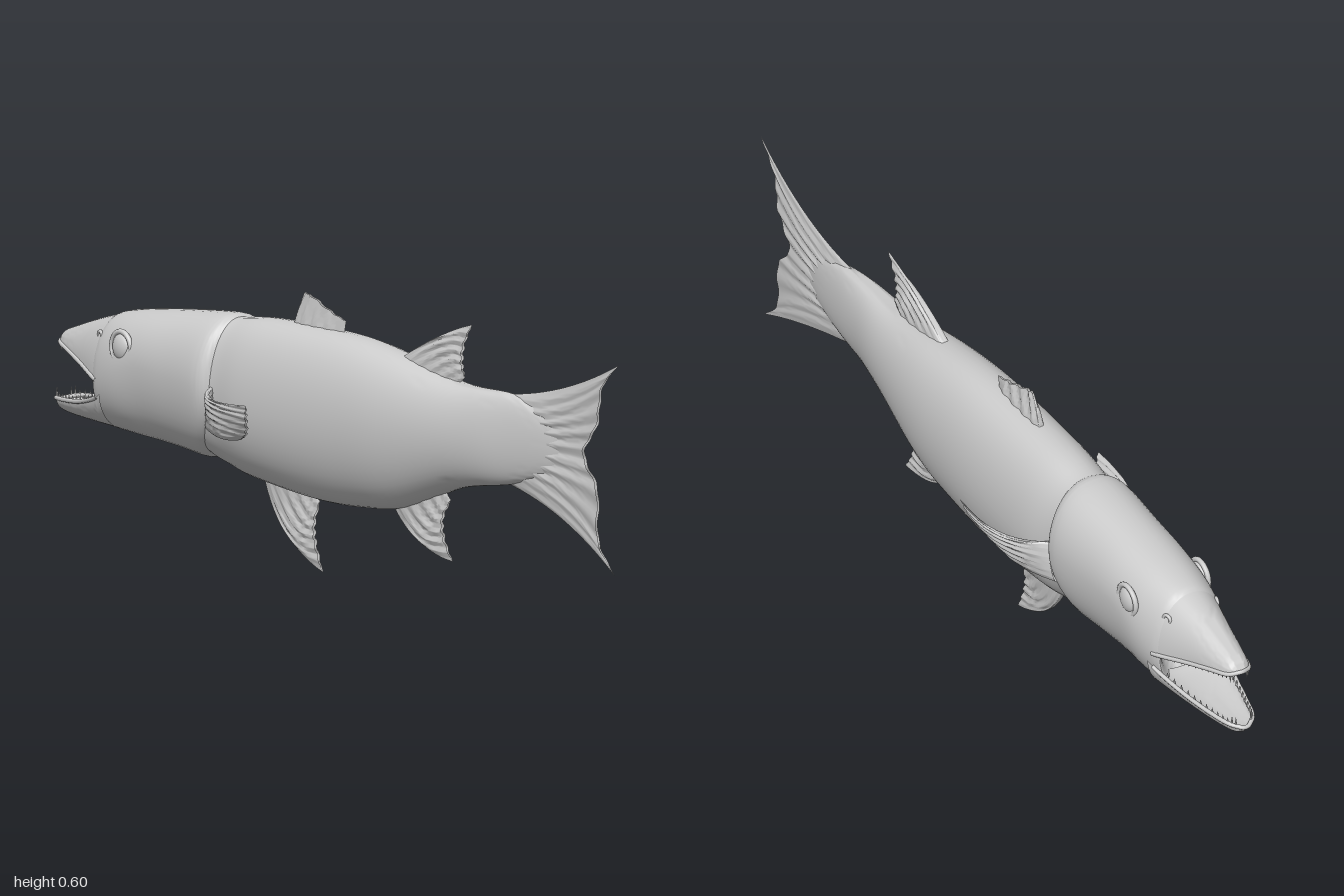
import * as THREE from 'three';
import { toCreasedNormals } from 'three/addons/utils/BufferGeometryUtils.js';

const V = (x, y, z) => new THREE.Vector3(x, y, z);
const material = new THREE.MeshStandardMaterial({ color: 0xcccccc });
const thinMaterial = new THREE.MeshStandardMaterial({ color: 0xcccccc, side: THREE.DoubleSide });

// Gentle sideways sweep of the tail
const sway = z => (z > 0.55 ? 0.012 * Math.sin((z - 0.55) * 7) : 0);

function mesh(name, geometry, mat = material) {
  const m = new THREE.Mesh(geometry, mat);
  m.name = name;
  return m;
}

// Grid of points joined into a surface; each row is a closed loop
function skin(rows, cols, pointAt) {
  const pos = [], index = [];
  for (let j = 0; j <= rows; j++) {
    for (let i = 0; i < cols; i++) {
      pos.push(...pointAt(i, j / rows).toArray());
      if (j === rows) continue;
      const a = j * cols + i, b = j * cols + (i + 1) % cols;
      index.push(a, a + cols, b, b, a + cols, b + cols);
    }
  }
  const g = new THREE.BufferGeometry();
  g.setAttribute('position', new THREE.Float32BufferAttribute(pos, 3));
  g.setIndex(index);
  return toCreasedNormals(g, 1.0);
}

// Rings [z, top, widest height, bottom, half width], listed tail to snout
function ringCurves(rings) {
  const curve = pts => new THREE.CatmullRomCurve3(pts, false, 'catmullrom', 0.5);
  return [
    curve(rings.map(r => V(r[4], 0, r[0]))),
    curve(rings.map(r => V(r[1], r[2], r[3]))),
  ];
}

function loft(rings, bend = () => 0) {
  const [zw, heights] = ringCurves(rings);
  const n = 48;
  return skin((rings.length - 1) * 6, n, (i, t) => {
    const a = (i / n) * Math.PI * 2, c = Math.cos(a), s = Math.sin(a);
    const p = zw.getPoint(t), h = heights.getPoint(t);
    const x = Math.max(p.x, 0) * Math.sign(c) * Math.abs(c) ** 0.9;
    const y = h.y + (s > 0 ? h.x - h.y : h.y - h.z) * s;
    return V(x + sway(p.z), y, p.z + bend(p.z, s));
  });
}

// Ribbed fin spread between a base, a middle and an outer edge curve
function fin(base, middle, edge, thickness, rays) {
  const [b, m, e] = [base, middle, edge].map(c => new THREE.CatmullRomCurve3(c, false, 'centripetal'));
  const n = 60;
  return skin(14, n * 2, (i, v) => {
    const side = i < n ? 1 : -1;
    const u = i < n ? i / n : (2 * n - i) / n;
    const p0 = b.getPoint(u), p1 = m.getPoint(u), p2 = e.getPoint(u);
    const p = new THREE.QuadraticBezierCurve3(
      p0, p1.clone().multiplyScalar(2).addScaledVector(p0, -0.5).addScaledVector(p2, -0.5), p2).getPoint(v);
    const lens = Math.sqrt(Math.max(Math.sin(Math.PI * u), 0));
    p.x += side * lens * (thickness * (1 - 0.85 * v) + 0.001);
    p.x += 0.003 * Math.sin(u * rays * Math.PI * 2) * Math.sin(Math.PI * Math.min(v, 0.7)) * lens;
    return p;
  });
}

// Fin lying in the middle plane, from [z, y] points
const flatFin = (base, middle, edge, thickness, rays) => {
  const to3 = pts => pts.map(([z, y]) => V(sway(z), y, z));
  return fin(to3(base), to3(middle), to3(edge), thickness, rays);
};

// Lips and teeth along the rim of a jaw
function mouthRim(name, rings, direction) {
  const group = new THREE.Group();
  group.name = name;
  const [zw, heights] = ringCurves(rings);
  const rim = (t, side, inset = 1) => {
    const p = zw.getPoint(t);
    return V(side * p.x * inset, heights.getPoint(t).y, p.z);
  };
  const lip = [];
  for (let i = 0; i <= 14; i++) lip.push(rim(0.1 + 0.064 * i, 1));
  for (let i = 14; i >= 0; i--) lip.push(rim(0.1 + 0.064 * i, -1));
  group.add(mesh('lip', new THREE.TubeGeometry(new THREE.CatmullRomCurve3(lip), 80, 0.005, 8)));
  for (const side of [-1, 1]) {
    for (let i = 0; i < 13; i++) {
      const h = i > 10 ? 0.024 : 0.014;
      const tooth = mesh('tooth', new THREE.ConeGeometry(0.0035, h, 7));
      tooth.position.copy(rim(0.25 + i * 0.053, side, 0.92));
      tooth.position.y += direction * h * 0.45;
      if (direction < 0) tooth.rotation.x = Math.PI;
      group.add(tooth);
    }
  }
  return group;
}

export function createModel() {
  const fish = new THREE.Group();
  fish.name = 'fish';

  // Trunk, running on into the tail stalk
  fish.add(mesh('body', loft([
    [0.80, 0.39, 0.37, 0.35, 0], [0.74, 0.43, 0.37, 0.31, 0.012], [0.62, 0.468, 0.37, 0.275, 0.03],
    [0.44, 0.472, 0.36, 0.245, 0.062], [0.25, 0.505, 0.35, 0.18, 0.09], [0.10, 0.525, 0.345, 0.162, 0.1],
    [-0.05, 0.53, 0.34, 0.16, 0.104], [-0.23, 0.528, 0.34, 0.175, 0.102], [-0.33, 0.518, 0.35, 0.19, 0.092],
    [-0.45, 0.5, 0.36, 0.235, 0.085], [-0.5, 0.36, 0.36, 0.36, 0],
  ])));

  // Head with flared gill covers, folding inward at the front into the throat
  fish.add(mesh('head', loft([
    [-0.34, 0.508, 0.36, 0.215, 0.085], [-0.355, 0.52, 0.37, 0.206, 0.103], [-0.39, 0.522, 0.375, 0.205, 0.11],
    [-0.5, 0.513, 0.38, 0.212, 0.104], [-0.605, 0.502, 0.385, 0.217, 0.1], [-0.7, 0.49, 0.36, 0.222, 0.097],
    [-0.77, 0.474, 0.34, 0.227, 0.084], [-0.765, 0.45, 0.335, 0.24, 0.07],
    [-0.71, 0.40, 0.33, 0.27, 0.04], [-0.69, 0.33, 0.33, 0.33, 0],
  ], (z, s) => (s < 0 ? -0.075 * s * s * THREE.MathUtils.clamp((z + 0.6) / 0.24, 0, 1) : 0))));

  // Jaws: hollow shells, concave towards the mouth
  const upper = [
    [-0.74, 0.481, 0.335, 0.37, 0.09], [-0.775, 0.472, 0.342, 0.38, 0.082], [-0.85, 0.452, 0.362, 0.392, 0.06],
    [-0.92, 0.43, 0.38, 0.396, 0.042], [-0.965, 0.415, 0.389, 0.396, 0.027], [-0.982, 0.4, 0.396, 0.397, 0.004],
  ];
  const lower = [
    [-0.74, 0.265, 0.31, 0.225, 0.089], [-0.775, 0.258, 0.295, 0.228, 0.08], [-0.85, 0.252, 0.278, 0.231, 0.062],
    [-0.92, 0.251, 0.271, 0.234, 0.046], [-0.975, 0.254, 0.268, 0.24, 0.03], [-0.998, 0.258, 0.262, 0.252, 0.006],
  ];
  fish.add(mesh('upperJaw', loft(upper)), mesh('lowerJaw', loft(lower)));
  fish.add(mouthRim('upperRim', upper, -1), mouthRim('lowerRim', lower, 1));

  // Eyes, nostrils and paired side fins
  const sideFin = fin(
    [V(0.085, 0.375, -0.34), V(0.085, 0.28, -0.36)],
    [V(0.157, 0.366, -0.25), V(0.118, 0.275, -0.26)],
    [V(0.17, 0.37, -0.105), V(0.158, 0.34, -0.12), V(0.132, 0.3, -0.155), V(0.113, 0.28, -0.2)], 0.01, 7);
  for (const side of [1, -1]) {
    const name = side > 0 ? 'left' : 'right';
    const eye = mesh(name + 'Eye', new THREE.SphereGeometry(0.03, 24, 16));
    eye.scale.x = 0.5;
    eye.position.set(side * 0.087, 0.42, -0.66);
    const lid = mesh(name + 'EyeRim', new THREE.TorusGeometry(0.034, 0.006, 10, 32));
    lid.position.set(side * 0.09, 0.42, -0.66);
    lid.rotation.y = Math.PI / 2;
    const nostril = mesh(name + 'Nostril', new THREE.TorusGeometry(0.01, 0.004, 8, 20));
    nostril.position.set(side * 0.061, 0.428, -0.775);
    nostril.rotation.set(0, side * (Math.PI / 2 + 0.25), 0);
    const pectoral = mesh(name + 'PectoralFin', sideFin, thinMaterial);
    pectoral.scale.x = side;
    fish.add(eye, lid, nostril, pectoral);
  }

  // Fins on the middle line
  fish.add(mesh('tailFin', flatFin(
    [[0.58, 0.465], [0.58, 0.37], [0.58, 0.278]],
    [[0.78, 0.5], [0.76, 0.43], [0.74, 0.37], [0.76, 0.3], [0.78, 0.22]],
    [[1.0, 0.577], [0.935, 0.52], [0.915, 0.44], [0.863, 0.37], [0.915, 0.3], [0.92, 0.19], [0.985, 0.123]],
    0.014, 10), thinMaterial));
  fish.add(mesh('frontDorsalFin', flatFin(
    [[-0.16, 0.515], [0.02, 0.515]],
    [[-0.145, 0.558], [0.02, 0.534]],
    [[-0.125, 0.597], [-0.1, 0.592], [-0.03, 0.567], [0.025, 0.552]],
    0.012, 5), thinMaterial));
  fish.add(mesh('rearDorsalFin', flatFin(
    [[0.22, 0.495], [0.42, 0.46]],
    [[0.355, 0.56], [0.435, 0.472]],
    [[0.475, 0.6], [0.445, 0.55], [0.44, 0.51], [0.45, 0.483]],
    0.014, 6), thinMaterial));
  fish.add(mesh('analFin', flatFin(
    [[0.19, 0.19], [0.4, 0.255]],
    [[0.285, 0.113], [0.385, 0.235]],
    [[0.405, 0.083], [0.375, 0.13], [0.37, 0.17], [0.4, 0.215]],
    0.014, 6), thinMaterial));
  fish.add(mesh('pelvicFin', flatFin(
    [[-0.265, 0.195], [-0.09, 0.18]],
    [[-0.19, 0.073], [-0.085, 0.165]],
    [[-0.06, 0.003], [-0.085, 0.06], [-0.09, 0.1], [-0.07, 0.155]],
    0.016, 6), thinMaterial));

  return fish;
}
